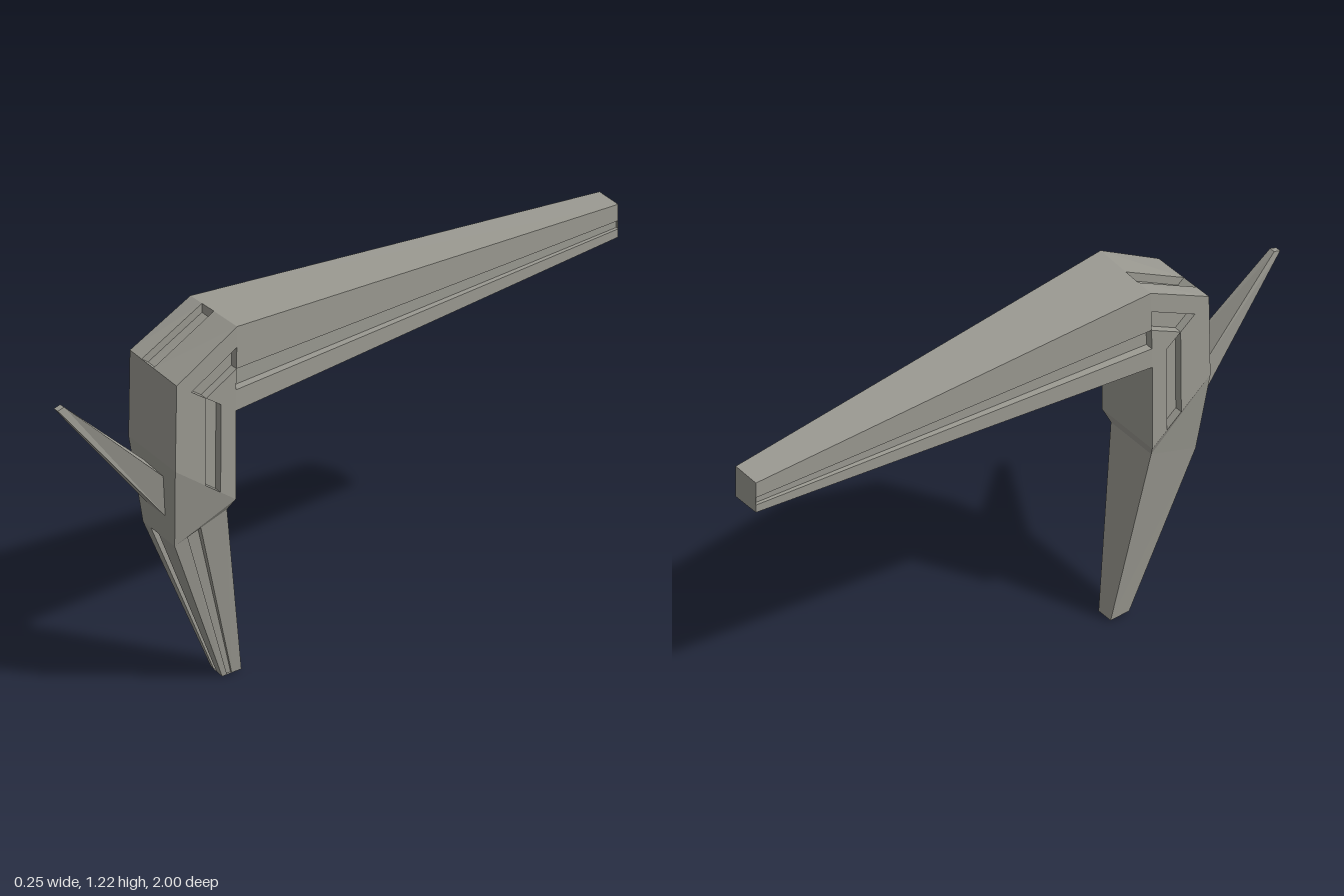
import * as THREE from 'three';

const grey = new THREE.MeshStandardMaterial({ color: 0x9b9a92, side: THREE.DoubleSide });
grey.name = 'warm grey';

const INSET = 0.11; // groove depth as a share of the part's thickness

// Four corners of a cross-section: outer right, outer left, inner left, inner right.
// z, y and half width are given for the outer and the inner edge.
function section([oz, oy, ow], [iz, iy, iw], tilt) {
  const p = (x, y, z) => new THREE.Vector3(x, y, z + 0.05 * x);
  return [
    p(-ow, oy - tilt * ow, oz), p(ow, oy + tilt * ow, oz),
    p(iw, iy, iz), p(-iw, iy, iz),
  ];
}

// Four-sided segment between sections A and B.
// grooves maps a side (0 outer, 1 left, 2 inner, 3 right) to its [start, end] across that side.
function segment(name, A, B, grooves = {}, capA = false, capB = false) {
  const pos = [];
  const quad = (a, b, c, d) => {
    for (const v of [a, b, c, a, c, d]) pos.push(v.x, v.y, v.z);
  };
  const edge = (S, k, t) => S[k % 4].clone().lerp(S[(k + 1) % 4], t);
  const floor = (S, k, t) => edge(S, k, t).lerp(edge(S, k + 2, 1 - t), INSET);

  for (let k = 0; k < 4; k++) {
    const strip = (t, u) => quad(edge(A, k, t), edge(A, k, u), edge(B, k, u), edge(B, k, t));
    if (!grooves[k]) { strip(0, 1); continue; }
    const [t, u] = grooves[k];
    const [a0, a1, b0, b1] = [edge(A, k, t), edge(A, k, u), edge(B, k, t), edge(B, k, u)];
    const [fa0, fa1, fb0, fb1] = [floor(A, k, t), floor(A, k, u), floor(B, k, t), floor(B, k, u)];
    strip(0, t);
    strip(u, 1);
    quad(fa0, fa1, fb1, fb0); // groove floor
    quad(a0, fa0, fb0, b0);   // groove walls
    quad(fa1, a1, b1, fb1);
    quad(a0, a1, fa1, fa0);   // groove ends
    quad(fb0, fb1, b1, b0);
  }
  if (capA) quad(A[3], A[2], A[1], A[0]);
  if (capB) quad(B[0], B[1], B[2], B[3]);

  const geometry = new THREE.BufferGeometry();
  geometry.setAttribute('position', new THREE.Float32BufferAttribute(pos, 3));
  geometry.computeVertexNormals();
  const mesh = new THREE.Mesh(geometry, grey);
  mesh.name = name;
  return mesh;
}

export function createModel() {
  const group = new THREE.Group();
  group.name = 'bentBracket';

  // Sections along the spine, from the foot up and back to the tip of the arm
  const foot = section([0.43, 0.003, 0.03], [0.36, 0.003, 0.03], -0.1);
  const knee = section([0.64, 0.53, 0.085], [0.46, 0.6, 0.1], -0.04);
  const hip = section([0.665, 0.805, 0.125], [0.445, 0.64, 0.125], -0.03);
  const shoulder = section([0.66, 1.09, 0.125], [0.445, 0.935, 0.125], -0.03);
  const crown = section([0.44, 1.21, 0.125], [0.445, 0.935, 0.125], 0.04);
  const tip = section([-0.997, 1.128, 0.05], [-0.997, 1.02, 0.05], 0.03);

  const outerHalf = [0.25, 0.5]; // groove in the second quarter
  const innerHalf = [0.5, 0.75]; // groove in the third quarter

  group.add(
    segment('leg', foot, knee, { 0: outerHalf, 1: outerHalf }, true),
    segment('collar', knee, hip),
    segment('upright', hip, shoulder, { 1: innerHalf, 3: outerHalf }),
    segment('bend', shoulder, crown, { 0: outerHalf, 1: outerHalf, 3: innerHalf }),
    segment('arm', crown, tip, { 1: innerHalf, 3: outerHalf }, false, true),
  );

  // Spike rising forward from the collar
  const v = (x, y, z) => new THREE.Vector3(x, y, z);
  const base = [v(-0.05, 0.607, 0.64), v(0.047, 0.6, 0.64), v(0.056, 0.74, 0.65), v(-0.058, 0.755, 0.65)];
  const point = [v(-0.03, 1.05, 1), v(-0.01, 1.05, 1), v(-0.01, 1.057, 0.977), v(-0.03, 1.057, 0.977)];
  group.add(segment('spike', base, point, {}, false, true));

  return group;
}
